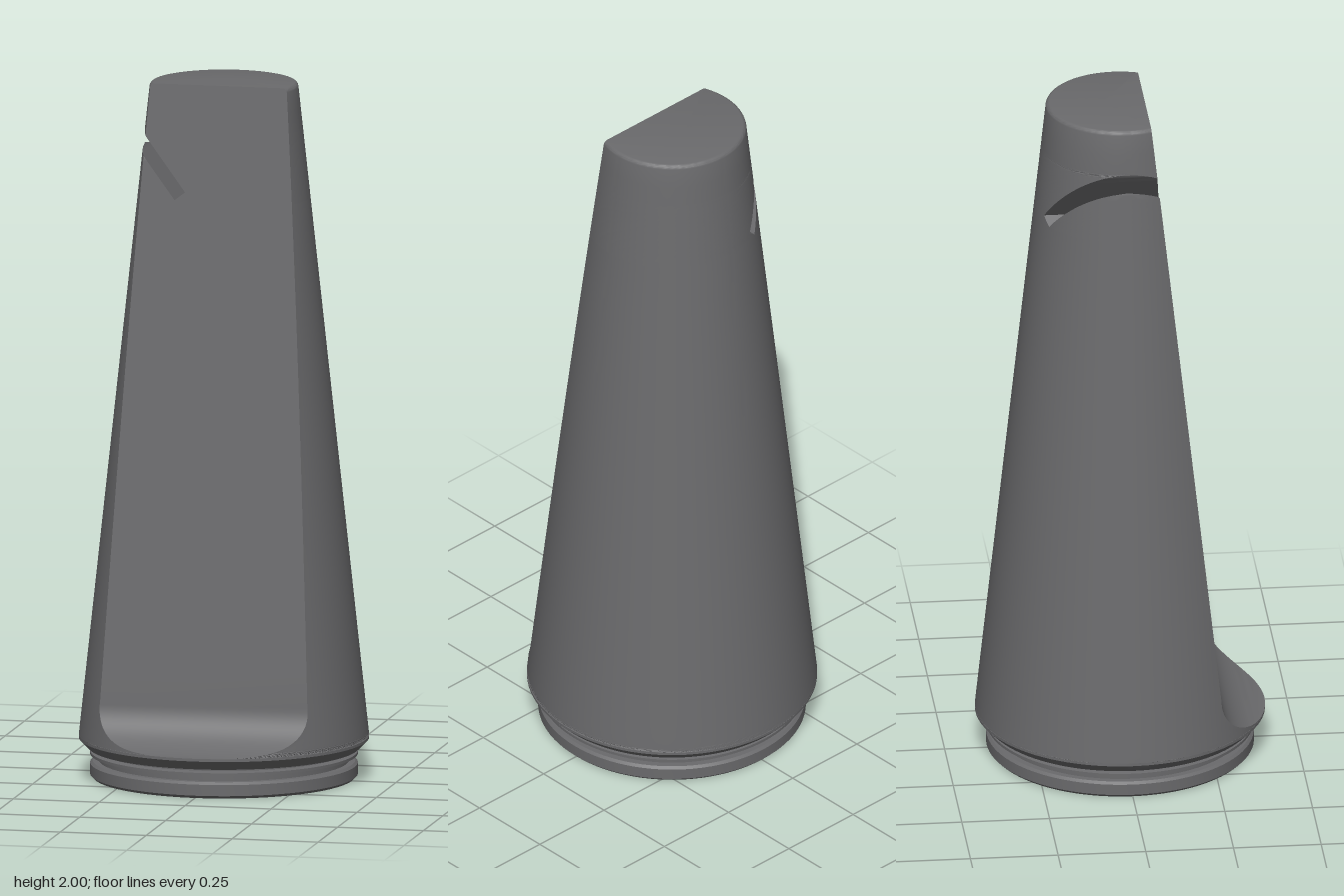
import * as THREE from 'three';
import { toCreasedNormals } from 'three/addons/utils/BufferGeometryUtils.js';

const ARC = 72, LEFT = 16;
const SLOT_Y = 1.672, SHOULDER = 0.12;

// Outer radius of the tapering body at height y
function radius(y) {
  if (y < SHOULDER) return 0.385 + (0.412 - 0.385) * Math.min(1, (y - 0.085) / 0.027);
  const r = 0.412 - (y - SHOULDER) * (0.412 - 0.21) / (2 - SHOULDER);
  const t = Math.max(0, (y - 1.988) / 0.012);
  return r - 0.01 * (1 - Math.sqrt(Math.max(0, 1 - t * t)));
}

// Depth of the front face: sloping flat that sweeps out into a concave foot
function frontDepth(y) {
  if (y <= SHOULDER) return 1;
  if (y >= 0.25) return 0.26 - (y - 0.25) * 0.19 / 1.75;
  const t = (0.25 - y) / 0.13;
  return 0.412 - 0.152 * Math.sqrt(Math.max(0, 1 - t * t));
}

// Horizontal outline of the body at height y, keeping only x >= a
function section(y, a) {
  const r = radius(y), cut = frontDepth(y);
  const s = Math.asin(THREE.MathUtils.clamp(a / r, -1, 1));
  const corner = cut < r ? Math.acos(cut / r) : 0;
  const points = [];
  const add = (p) => points.push([r * Math.sin(p), y, r * Math.cos(p)]);
  const start = Math.max(corner, s), end = Math.PI - s;
  for (let i = 0; i <= ARC; i++) add(start + (end - start) * i / ARC);
  const front = 2 * Math.PI + s, last = 2 * Math.PI - corner;
  for (let i = 0; i <= LEFT; i++) {
    if (front < last) add(front + (last - front) * i / LEFT);
    else points.push([r * Math.sin(s), y, Math.min(cut, r * Math.cos(s))]);
  }
  return points;
}

// Skin a stack of outlines, optionally closing the top
function loft(rings, capTop = false) {
  const pos = [];
  const tri = (a, b, c) => pos.push(...a, ...b, ...c);
  const n = rings[0].length;
  for (let i = 0; i < rings.length - 1; i++) {
    for (let j = 0; j < n; j++) {
      const k = (j + 1) % n;
      tri(rings[i][j], rings[i][k], rings[i + 1][k]);
      tri(rings[i][j], rings[i + 1][k], rings[i + 1][j]);
    }
  }
  if (capTop) {
    const top = rings[rings.length - 1];
    for (let j = 0; j < n; j++) tri([0, top[0][1], -0.05], top[j], top[(j + 1) % n]);
  }
  const g = new THREE.BufferGeometry();
  g.setAttribute('position', new THREE.Float32BufferAttribute(pos, 3));
  return toCreasedNormals(g, 0.5);
}

const steps = (a, b, n) => Array.from({ length: n + 1 }, (_, i) => a + (b - a) * i / n);

export function createModel() {
  const group = new THREE.Group();
  const grey = new THREE.MeshStandardMaterial({ color: 0x6a6a6c });
  grey.name = 'dark grey';
  const add = (name, geometry) => {
    const mesh = new THREE.Mesh(geometry, grey);
    mesh.name = name;
    group.add(mesh);
  };

  // Body below the slot, with the scooped foot
  const foot = steps(0, Math.PI / 2, 16).map((t) => 0.25 - 0.13 * Math.cos(t));
  const lowerY = [0.085, 0.112, ...foot, ...steps(0.25, SLOT_Y, 12).slice(1)];
  add('lowerBody', loft(lowerY.map((y) => section(y, -radius(y)))));

  // Body beside and above the slot
  const upperY = [...steps(SLOT_Y, 1.695, 2), ...steps(1.695, 1.875, 30).slice(1),
    1.93, 1.988, 1.992, 1.996, 1.999, 2];
  const slotTop = (y) => (y < 1.695
    ? -0.12 + (y - SLOT_Y) * 0.03 / 0.023
    : -0.09 - (y - 1.695) * 0.765);
  add('upperBody', loft(upperY.map((y) => section(y, Math.max(-radius(y), slotTop(y)))), true));

  // Thin wedge left standing outside the slot, a mirrored section
  const wedgeY = steps(SLOT_Y, 1.825, 20);
  add('slotWedge', loft(wedgeY.map((y) => section(y, Math.min(radius(y), 0.12 + (y - SLOT_Y) * 0.769))
    .map(([x, h, z]) => [-x, h, z]).reverse())));

  // Grooved base plug
  const profile = [[0, 0], [0.372, 0], [0.38, 0.008], [0.38, 0.04], [0.373, 0.047], [0.355, 0.047],
    [0.355, 0.063], [0.38, 0.066], [0.38, 0.074], [0.36, 0.077], [0.36, 0.085], [0.385, 0.085]];
  const base = new THREE.LatheGeometry(profile.map(([x, y]) => new THREE.Vector2(x, y)), 96);
  add('groovedBase', toCreasedNormals(base, 0.5));

  return group;
}
